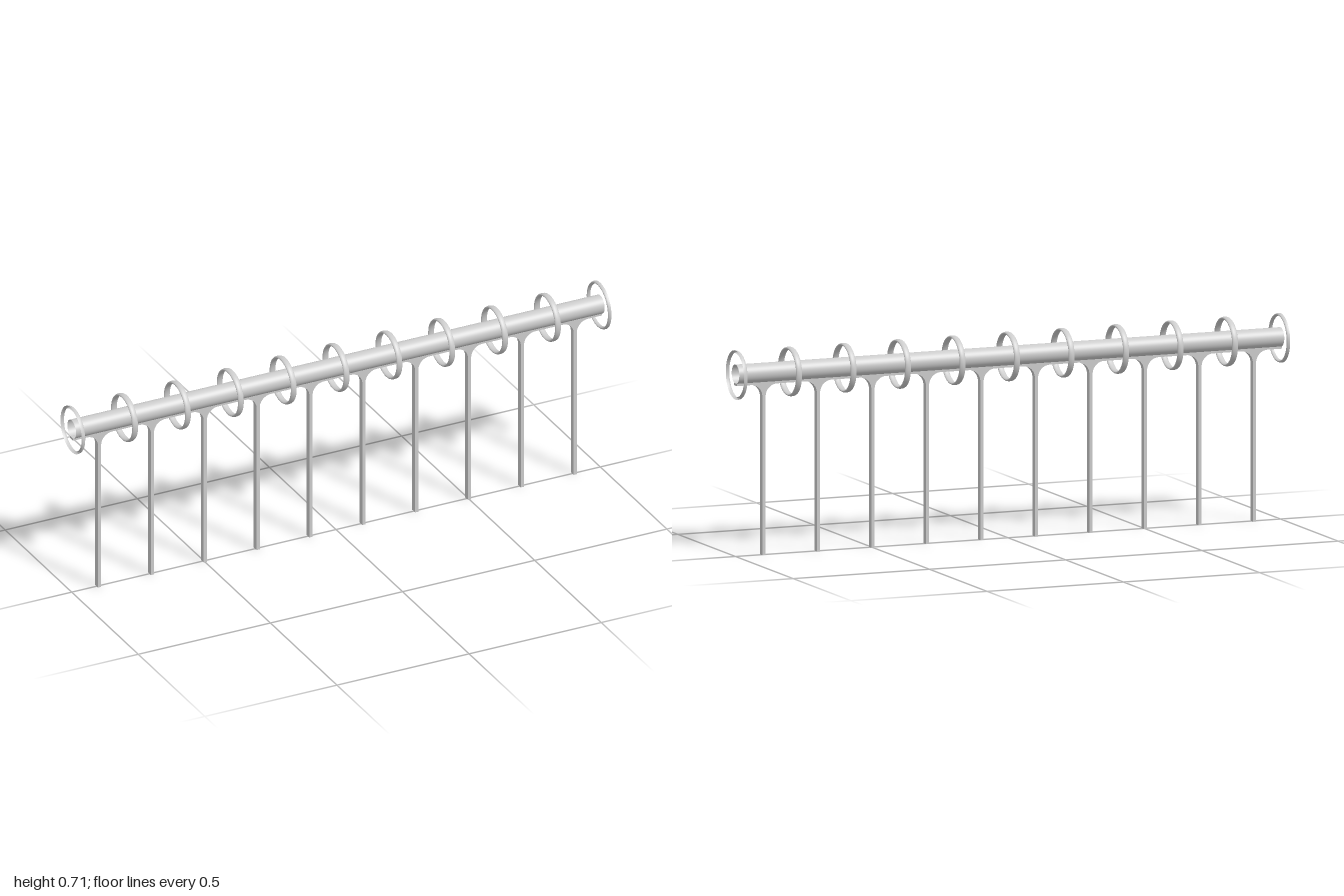
import * as THREE from 'three';

const RAIL_Y = 0.624, RAIL_R = 0.033, RING_Y = 0.621, RING_R = 0.0797;
const STRIP = 0.022, POST = 0.006, FILLET = 0.042, WEB_Y = 0.585;

// Flat oval section swept around the rail axis; a partial arc gives a half ring
function ringGeometry(from, to) {
  const points = [];
  for (let i = 0; i <= 16; i++) {
    const a = from + (to - from) * i / 16;
    points.push(new THREE.Vector2(RING_R + 0.0047 * Math.cos(a), 0.011 * Math.sin(a)));
  }
  return new THREE.LatheGeometry(points, 48).rotateZ(-Math.PI / 2);
}

export function createModel() {
  const group = new THREE.Group();
  const material = new THREE.MeshStandardMaterial({ color: 0xcccccc, side: THREE.DoubleSide });
  const add = (name, geometry, x = 0, y = 0, z = 0) => {
    const mesh = new THREE.Mesh(geometry, material);
    mesh.name = name;
    mesh.position.set(x, y, z);
    group.add(mesh);
  };

  // Open-ended rail, slotted underneath where the hanging strip joins
  const gap = Math.asin(STRIP / 2 / RAIL_R);
  const rail = new THREE.CylinderGeometry(RAIL_R, RAIL_R, 2, 40, 1, true,
    Math.PI / 2 + gap, 2 * Math.PI - 2 * gap).rotateZ(-Math.PI / 2);
  add('rail', rail, 0, RAIL_Y, 0);

  // Posts with filleted tops, each flowing into a thin web under the rail
  const top = RAIL_Y - RAIL_R * Math.cos(gap);
  const r = POST + FILLET;
  const shape = new THREE.Shape();
  shape.moveTo(-0.1, WEB_Y);
  shape.lineTo(-r, WEB_Y);
  shape.absarc(-r, WEB_Y - FILLET, FILLET, Math.PI / 2, 0, true);
  shape.lineTo(-POST, 0);
  shape.lineTo(POST, 0);
  shape.lineTo(POST, WEB_Y - FILLET);
  shape.absarc(r, WEB_Y - FILLET, FILLET, Math.PI, Math.PI / 2, true);
  shape.lineTo(0.1, WEB_Y);
  shape.lineTo(0.1, top);
  shape.lineTo(-0.1, top);
  shape.closePath();
  const post = new THREE.ExtrudeGeometry(shape, { depth: STRIP, bevelEnabled: false, curveSegments: 10 });
  post.translate(0, 0, -STRIP / 2);
  for (let i = 0; i < 10; i++) add('post', post, -0.9 + 0.2 * i);

  // Loose rings around the rail, cut in half at both ends
  const ring = ringGeometry(0, 2 * Math.PI);
  for (let i = 1; i < 10; i++) add('ring', ring, -1 + 0.2 * i, RING_Y);
  add('leftEndRing', ringGeometry(Math.PI, 2 * Math.PI), 1, RING_Y);
  add('rightEndRing', ringGeometry(0, Math.PI), -1, RING_Y);

  return group;
}
